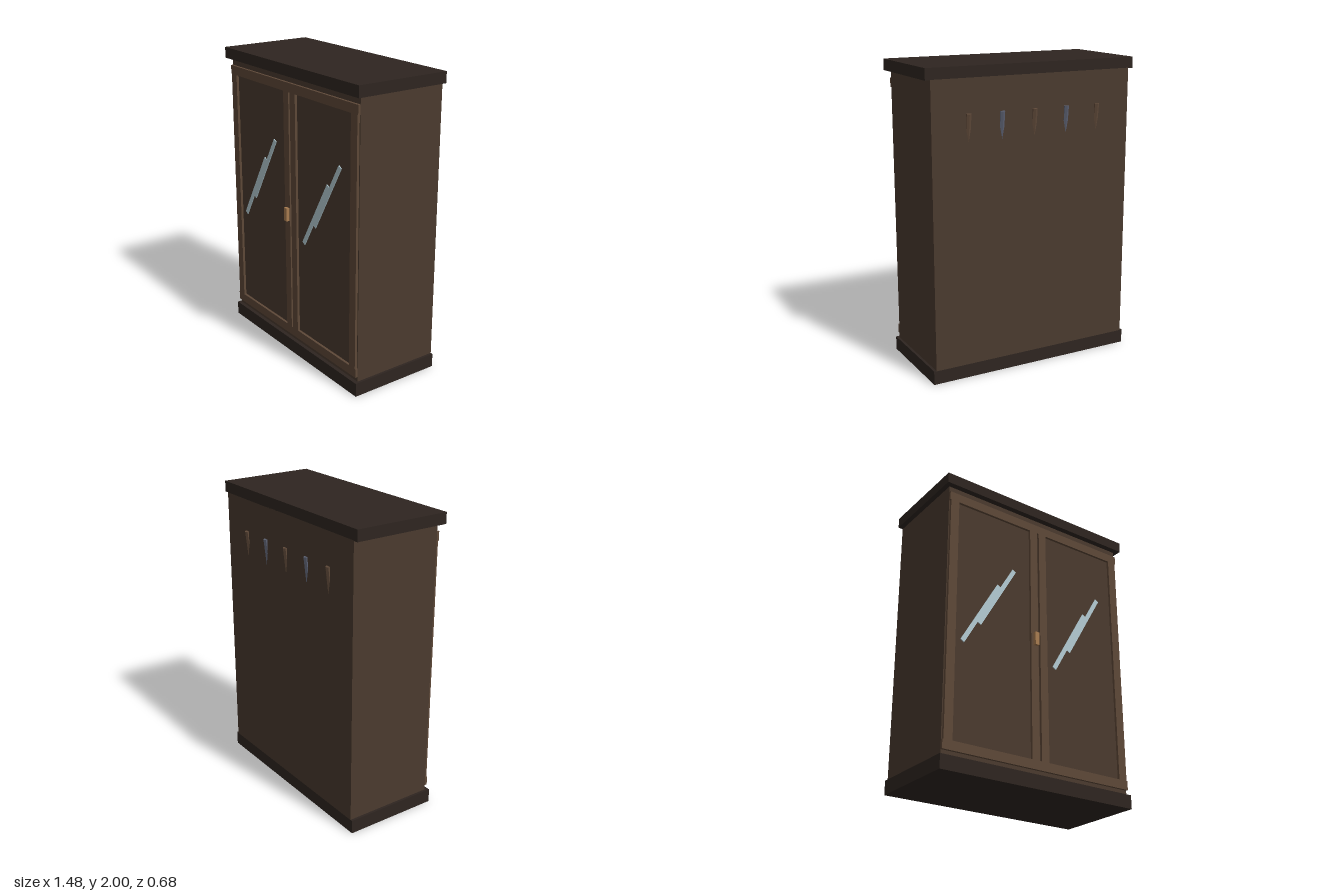
import * as THREE from 'three';

const mat = (color) => new THREE.MeshStandardMaterial({ color, flatShading: true });

export function createModel() {
  const group = new THREE.Group();
  group.name = 'cabinet';

  const bodyWood = mat(0x4a3a2e);
  const darkWood = mat(0x2e2520);
  const doorWood = mat(0x5e4838);
  const brass = mat(0xa87c50);
  const shine = mat(0xb4ccd4);
  const steel = mat(0x5a5f70);

  // Box given by its extents along each axis
  const box = (name, material, [x0, x1], [y0, y1], [z0, z1], parent = group) => {
    const mesh = new THREE.Mesh(new THREE.BoxGeometry(x1 - x0, y1 - y0, z1 - z0), material);
    mesh.position.set((x0 + x1) / 2, (y0 + y1) / 2, (z0 + z1) / 2);
    mesh.name = name;
    parent.add(mesh);
    return mesh;
  };

  // Carcass, plinth and cornice share one flush back
  const back = -0.32;
  box('body', bodyWood, [-0.705, 0.705], [0.09, 1.93], [back, 0.3]);
  box('plinth', darkWood, [-0.722, 0.722], [0, 0.092], [back, 0.325]);
  box('cornice', darkWood, [-0.738, 0.738], [1.927, 2], [back, 0.339]);

  // Two framed doors: rails at top and bottom, slightly inset stiles
  const doorZ = [0.3, 0.317];
  for (const side of [-1, 1]) {
    const door = new THREE.Group();
    door.name = side > 0 ? 'leftDoor' : 'rightDoor';
    group.add(door);
    const span = (a, b) => (side > 0 ? [a, b] : [-b, -a]);
    box('bottomRail', doorWood, span(0, 0.705), [0.125, 0.185], doorZ, door);
    box('topRail', doorWood, span(0, 0.705), [1.82, 1.88], doorZ, door);
    box('innerStile', doorWood, span(0.008, 0.065), [0.185, 1.82], doorZ, door);
    box('outerStile', doorWood, span(0.637, 0.698), [0.185, 1.82], doorZ, door);

    // Pair of slanted glints on the pane
    for (const [x, y] of [[-0.091, 1.077], [0.03, 1.231]]) {
      const glint = new THREE.Mesh(new THREE.BoxGeometry(0.03, 0.538, 0.006), shine);
      glint.position.set(side * 0.3545 + x, y, 0.303);
      glint.rotation.z = -Math.PI / 6;
      glint.name = 'glint';
      door.add(glint);
    }
  }

  // Handle on the right door
  box('handle', brass, [-0.046, -0.016], [0.958, 1.048], [0.31, 0.339]);

  // Row of leaning six-sided rods whose tops come through the back
  const length = 1.1, tilt = 0.115;
  for (let i = 0; i < 5; i++) {
    const rod = new THREE.Mesh(new THREE.CylinderGeometry(0.018, 0.018, length, 6), i % 2 ? steel : doorWood);
    rod.position.set(
      (i - 2) * 0.23,
      1.715 - (length / 2) * Math.cos(tilt),
      -0.322 + (length / 2) * Math.sin(tilt)
    );
    rod.rotation.x = -tilt;
    rod.name = 'rod';
    group.add(rod);
  }

  return group;
}
